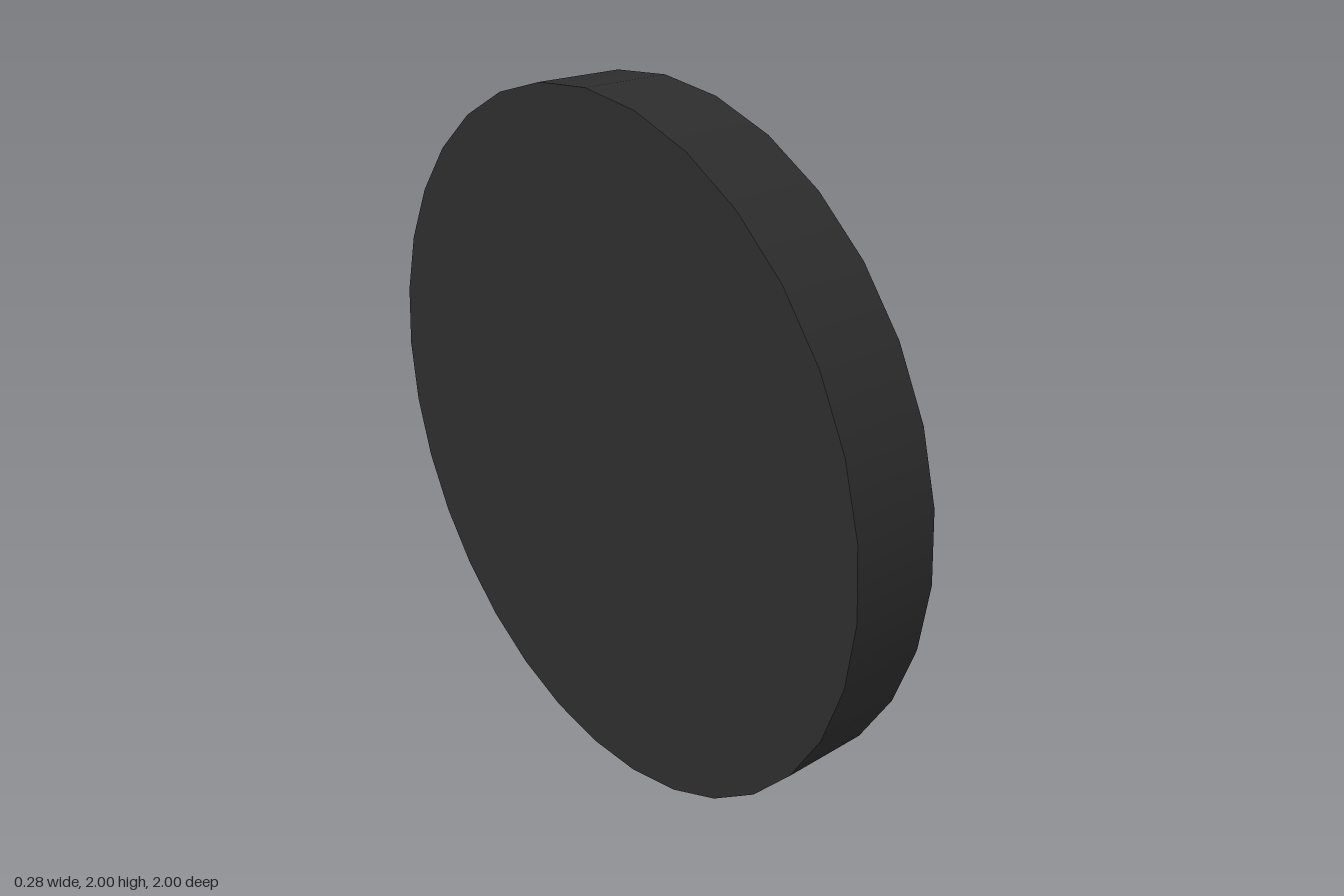
import * as THREE from 'three';

export function createModel() {
  const clock = new THREE.Group();
  clock.name = 'wallClock';
  const dark = new THREE.MeshStandardMaterial({ color: 0x2d2d2d });
  dark.name = 'charcoal';
  const pale = new THREE.MeshStandardMaterial({ color: 0xc6c6c0 });
  pale.name = 'paleGrey';

  const add = (name, geometry, material, x, y, z) => {
    const mesh = new THREE.Mesh(geometry, material);
    mesh.name = name;
    mesh.position.set(x, y, z);
    clock.add(mesh);
    return mesh;
  };

  // Disc whose axis runs along x, between two x positions
  const disc = (name, radius, x0, x1, material) => add(name,
    new THREE.CylinderGeometry(radius, radius, x1 - x0, 32).rotateZ(-Math.PI / 2),
    material, (x0 + x1) / 2, 1, 0);

  disc('case', 1, -0.1375, 0.111, dark);
  disc('dial', 0.91, 0.111, 0.116, pale);

  // Upright hour marks: long at the quarters, short between them
  const mark = (name, y, z, height) =>
    add(name, new THREE.BoxGeometry(0.007, height, 0.05), dark, 0.1192, 1 + y, z);
  for (const s of [-1, 1]) {
    mark('quarterMark', s * 0.75, 0, 0.25);
    mark('quarterMark', 0, s * 0.75, 0.25);
    for (const t of [-1, 1]) {
      mark('hourMark', s * 0.65, t * 0.375, 0.125);
      mark('hourMark', s * 0.375, t * 0.65, 0.125);
    }
  }

  // Hands run from the dial centre to a tip given as (y, z) offsets
  const hand = (name, y, z, width) => {
    const mesh = add(name, new THREE.BoxGeometry(0.01, Math.hypot(y, z), width),
      dark, 0.1325, 1 + y / 2, z / 2);
    mesh.rotation.x = Math.atan2(z, y);
  };
  hand('hourHand', -0.335, 0.375, 0.065);
  hand('minuteHand', 0.473, -0.592, 0.042);

  return clock;
}
